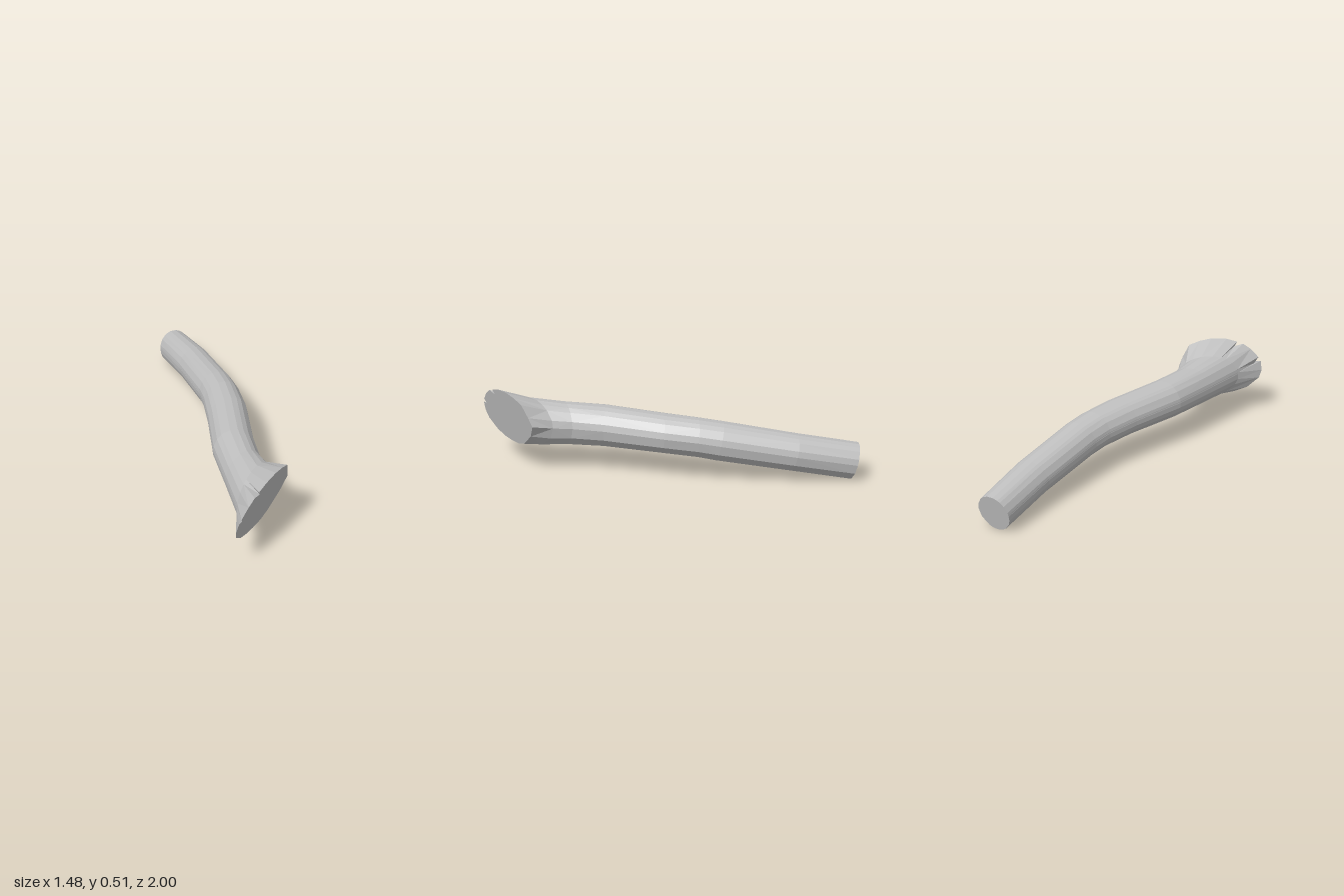
import * as THREE from 'three';

// Flared end outline as [z, y], running from the +z side over the top
const FLARE = [
  [1.0, 0.30], [0.995, 0.36], [0.95, 0.345], [0.98, 0.385], [0.93, 0.44], [0.88, 0.475],
  [0.82, 0.46], [0.84, 0.49], [0.77, 0.51], [0.67, 0.515], [0.59, 0.5], [0.52, 0.475],
  [0.475, 0.4], [0.45, 0.345], [0.5, 0.265], [0.6, 0.185], [0.67, 0.16], [0.75, 0.158],
  [0.82, 0.165], [0.9, 0.19], [0.98, 0.25],
];

// Stations along the limb: left edge x, z, right edge x, z, bottom y, top y
const STATIONS = [
  [-0.735, -0.84, -0.60, -1.00, 0.00, 0.23],
  [-0.46, -0.575, -0.32, -0.76, 0.065, 0.295],
  [-0.16, -0.25, 0.0, -0.43, 0.13, 0.37],
  [-0.085, -0.15, 0.085, -0.33, 0.147, 0.388],
  [0.03, 0.035, 0.21, -0.16, 0.16, 0.403],
  [0.21, 0.35, 0.40, 0.17, 0.168, 0.425],
  [0.40, 0.595, 0.51, 0.33, 0.167, 0.435],
  [0.57, 0.82, 0.60, 0.405, 0.163, 0.455],
];

function buildRings() {
  // angles follow the flare so the facets run straight into it
  const angles = FLARE.map(([z, y]) => Math.atan2((y - 0.337) / 0.178, (z - 0.725) / 0.275));
  const rings = STATIONS.map(([lx, lz, rx, rz, y0, y1], j) => {
    const cx = (lx + rx) / 2, cz = (lz + rz) / 2, cy = (y0 + y1) / 2, h = (y1 - y0) / 2;
    const lean = j < 3 ? -0.22 : -0.05;
    return angles.map((a) => {
      const c = Math.cos(a), s = Math.sin(a);
      return new THREE.Vector3(
        cx + c * (lx - rx) / 2 + lean * s * h * 0.7, cy + s * h,
        cz + c * (lz - rz) / 2 + lean * s * h * 0.7);
    });
  });
  // the flare lies on a tilted plane
  rings.push(FLARE.map(([z, y]) =>
    new THREE.Vector3(0.69 + 0.24 * (y - 0.34) - 0.12 * (z - 0.72), y, z)));
  return rings;
}

function facetMesh(name, triangles, material) {
  const geometry = new THREE.BufferGeometry().setFromPoints(triangles);
  geometry.computeVertexNormals();
  const mesh = new THREE.Mesh(geometry, material);
  mesh.name = name;
  return mesh;
}

function capTriangles(ring, flip) {
  const centre = ring.reduce((sum, p) => sum.add(p), new THREE.Vector3()).divideScalar(ring.length);
  return ring.flatMap((p, i) => {
    const q = ring[(i + 1) % ring.length];
    return flip ? [centre, q, p] : [centre, p, q];
  });
}

export function createModel() {
  const group = new THREE.Group();
  group.name = 'branch';
  const grey = new THREE.MeshStandardMaterial({ color: 0xc0c0c0 });
  grey.name = 'pale grey';
  const rings = buildRings();

  // faceted side surface
  const side = [];
  for (let j = 0; j < rings.length - 1; j++) {
    const n = FLARE.length;
    for (let i = 0; i < n; i++) {
      const k = (i + 1) % n;
      const a = rings[j][i], b = rings[j][k], c = rings[j + 1][i], d = rings[j + 1][k];
      side.push(...((i + j) % 2 ? [a, c, b, b, c, d] : [a, c, d, a, d, b]));
    }
  }
  group.add(facetMesh('limb', side, grey));

  // cut end and flared end
  group.add(facetMesh('cutEnd', capTriangles(rings[0], false), grey));
  group.add(facetMesh('flaredEnd', capTriangles(rings[rings.length - 1], true), grey));
  return group;
}
